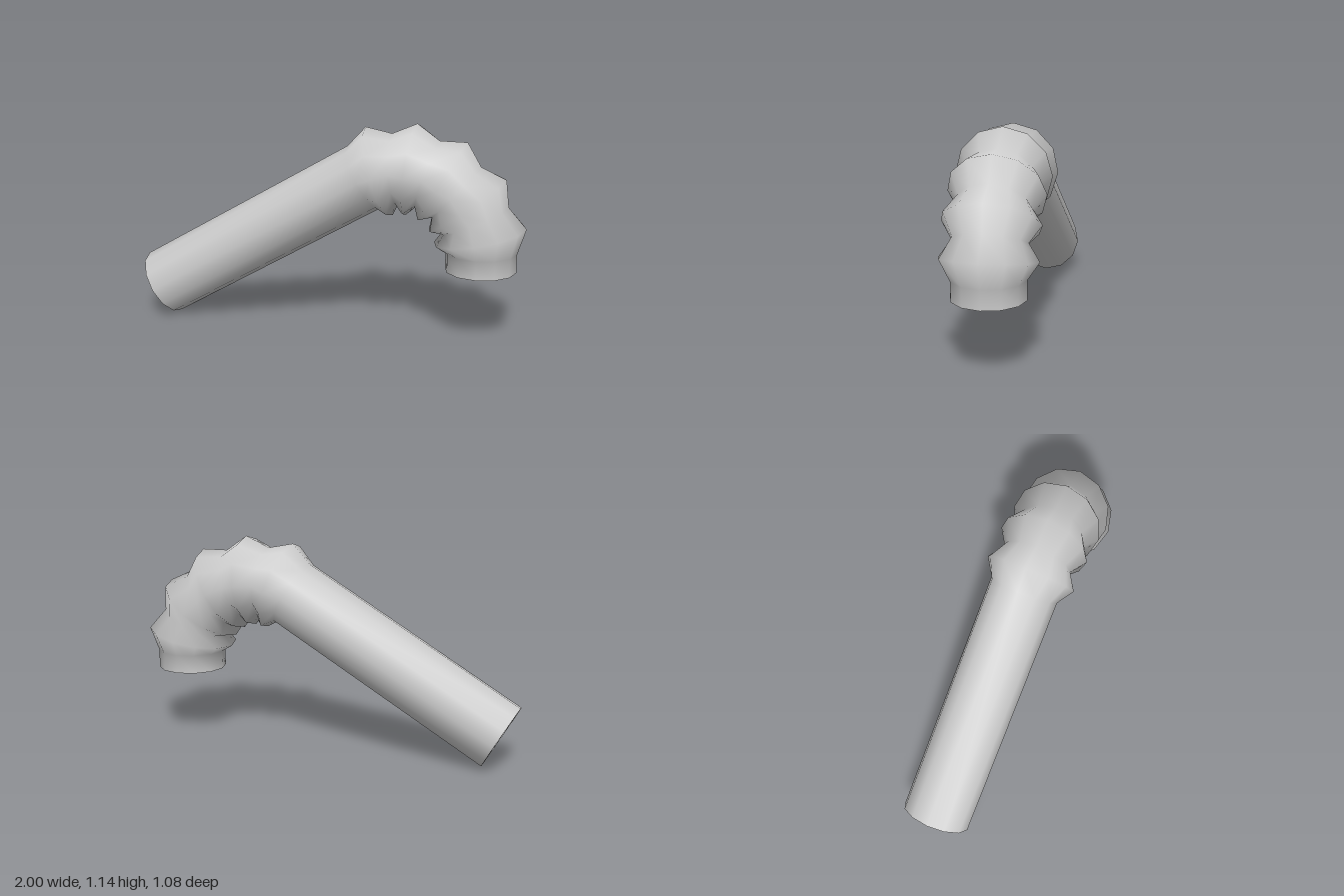
import * as THREE from 'three';

const SIDES = 12;
const PIPE = 0.187;   // straight pipe radius
const RIDGE = 0.245;  // radius at the crest of a fold
const WALL = 0.045;   // wall thickness
const BEND = 0.42;    // radius of the bend's centre line
const FOLDS = 5;

// Ring stations along the centre line: [u, y, heading, radius]
function stations() {
  const list = [[0, 0.165, Math.PI / 6, PIPE]];
  const steps = FOLDS * 2;
  for (let i = 0; i <= steps; i++) {
    const a = THREE.MathUtils.degToRad(30 - (120 * i) / steps);
    list.push([1.373 - BEND * Math.sin(a), 0.48 + BEND * Math.cos(a), a, i % 2 ? RIDGE : PIPE]);
  }
  list.push([1.793, 0.38, -Math.PI / 2, PIPE]);
  return list;
}

// Skin a surface over a series of rings; shared vertices keep it smooth
function skin(rings, inward) {
  const pos = [], index = [];
  for (const [u, y, a, r] of rings) {
    for (let j = 0; j < SIDES; j++) {
      const p = (j / SIDES) * Math.PI * 2;
      const n = r * Math.cos(p);
      pos.push(u - Math.sin(a) * n, y + Math.cos(a) * n, r * Math.sin(p));
    }
  }
  for (let i = 0; i < rings.length - 1; i++) {
    for (let j = 0; j < SIDES; j++) {
      const k = (j + 1) % SIDES;
      const a = i * SIDES + j, b = i * SIDES + k;
      const c = a + SIDES, d = b + SIDES;
      if (inward) index.push(a, c, b, b, c, d);
      else index.push(a, b, c, b, d, c);
    }
  }
  const g = new THREE.BufferGeometry();
  g.setAttribute('position', new THREE.Float32BufferAttribute(pos, 3));
  g.setIndex(index);
  g.computeVertexNormals();
  return g;
}

export function createModel() {
  const group = new THREE.Group();
  group.name = 'bendyPipe';
  const material = new THREE.MeshStandardMaterial({ color: 0xcccccc });
  const add = (name, geometry) => {
    const mesh = new THREE.Mesh(geometry, material);
    mesh.name = name;
    group.add(mesh);
  };

  const outer = stations();
  const inner = outer.map(([u, y, a, r]) => [u, y, a, r - WALL]);
  const last = outer.length - 1;

  // Long leg, folded elbow and short leg in one smooth skin
  add('outerWall', skin(outer, false));
  add('innerWall', skin(inner, true));

  // Flat rims closing the wall at both open ends
  add('longLegRim', skin([inner[0], outer[0]], false));
  add('shortLegRim', skin([outer[last], inner[last]], false));

  // Turn the plane of the bend towards the back
  group.rotation.y = Math.atan(0.4);
  group.position.set(-0.89, 0, 0.365);

  const model = new THREE.Group();
  model.name = 'model';
  model.add(group);
  return model;
}
